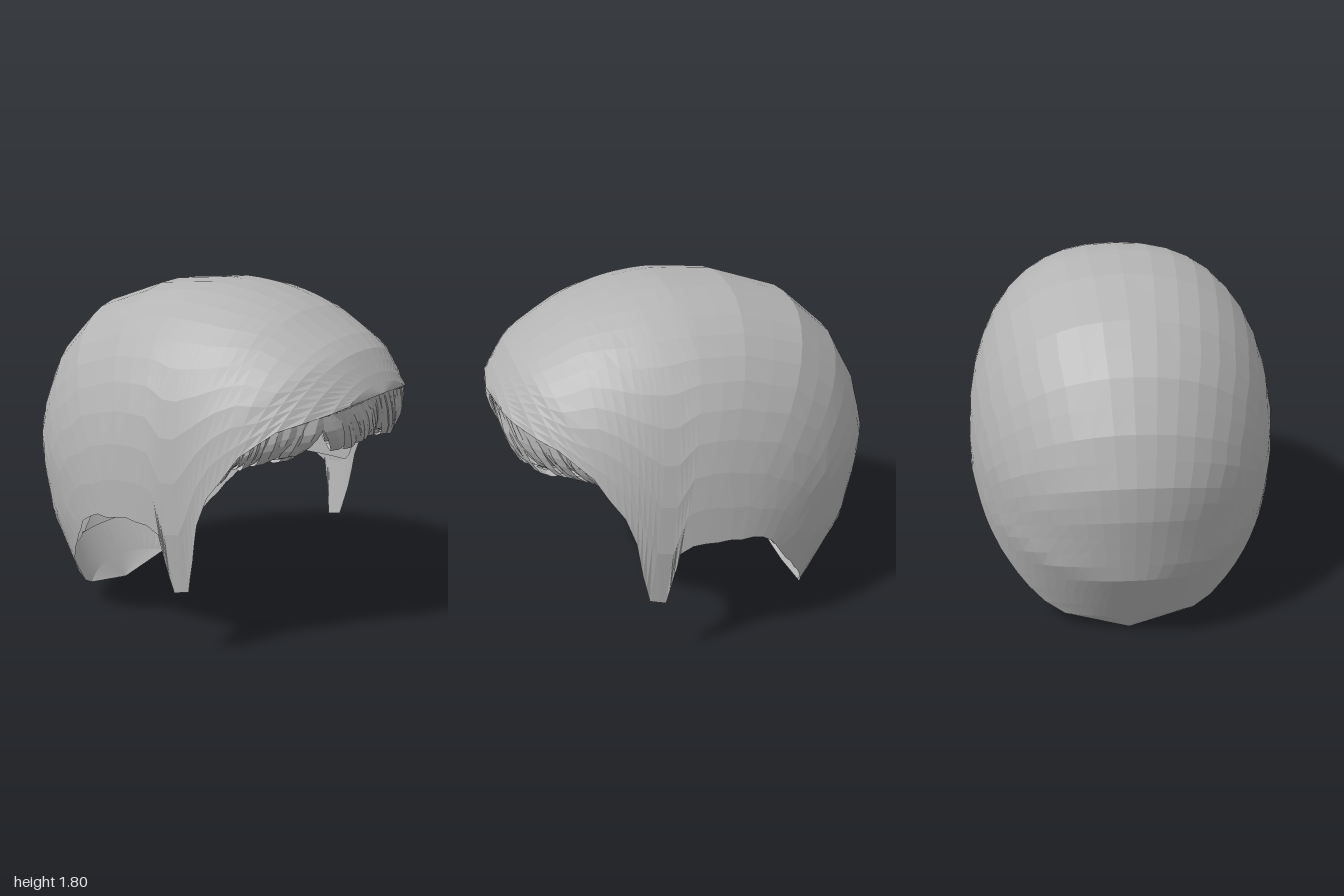
import * as THREE from 'three';

// centre-line profile (z, y), front lip over the crown to the nape
const CROWN = [[1, 1.31], [.95, 1.4], [.88, 1.505], [.8, 1.57], [.6, 1.69], [.5, 1.73], [.38, 1.765], [.3, 1.782],
  [.24, 1.79], [.17, 1.797], [.1, 1.8], [.03, 1.795], [-.23, 1.77], [-.58, 1.65], [-.8, 1.45], [-.93, 1.22],
  [-1, .98], [-.99, .8], [-.95, .62], [-.91, .44], [-.77, .22], [-.63, 0]];
// matching cut edge (z, y): lip, temple, sideburn, ear, nape
const EDGE = [[1, 1.31], [.93, 1.27], [.76, 1.2], [.62, 1.08], [.56, .98], [.49, .88], [.44, .74], [.41, .55],
  [.37, .38], [.29, .36], [.26, .52], [.23, .66], [.1, .7], [-.02, .7], [-.15, .69], [-.25, .64],
  [-.3, .57], [-.36, .48], [-.43, .38], [-.5, .27], [-.56, .13], [-.63, 0]];
// the inner layer has no sideburns and stops above the nape
const INNER_CROWN = [...CROWN.slice(2, 20), [-.81, .283]];
const INNER_EDGE = [...EDGE.slice(2, 17).map(([z, y]) => [z, z > 0 ? Math.max(y, .7) : y]),
  [-.35, .52], [-.4, .46], [-.47, .41], [-.6, .33]];
const CY = 0.8, HALF_WIDTH = 0.8;

let seed = 7;
const rand = () => (seed = (seed * 16807) % 2147483647) / 2147483647;

// distance from the side pole to the centre-line profile in one direction
function reach(dz, dy) {
  for (let i = 0; i < CROWN.length - 1; i++) {
    const [az, ay] = CROWN[i], ez = CROWN[i + 1][0] - az, ey = CROWN[i + 1][1] - ay;
    const den = dz * ey - dy * ez;
    if (Math.abs(den) < 1e-9) continue;
    const t = (az * ey - (ay - CY) * ez) / den;
    const u = (az * dy - (ay - CY) * dz) / den;
    if (t > 0 && u >= -1e-6 && u <= 1 + 1e-6) return t;
  }
  return dz > 0 ? 1.12 : 1.02;
}

// half width of the head at a point of the side outline
function widthAt(z, y) {
  const r = Math.hypot(z, y - CY) || 1e-6, dz = z / r, dy = (y - CY) / r;
  const s = Math.min(1, r / reach(dz, dy));
  const n = 2.4 - 0.4 * Math.max(0, -dz);
  return HALF_WIDTH * Math.pow(Math.max(0, 1 - Math.pow(s, n)), 1 / n);
}

// faceted geometry from a grid of points
function gridGeometry(rows, flip) {
  const pos = [];
  const tri = (a, b, c) => pos.push(...a, ...(flip ? c : b), ...(flip ? b : c));
  for (let i = 0; i < rows.length - 1; i++) {
    for (let j = 0; j < rows[i].length - 1; j++) {
      const a = rows[i][j], b = rows[i][j + 1], c = rows[i + 1][j + 1], d = rows[i + 1][j];
      tri(a, b, c);
      tri(a, c, d);
    }
  }
  const g = new THREE.BufferGeometry();
  g.setAttribute('position', new THREE.Float32BufferAttribute(pos, 3));
  g.computeVertexNormals();
  return g;
}

// one side of a shell, ruled from the crown line down to the cut edge
function halfShell(side, crown, edge, scale, ragged) {
  const rows = [], STEPS = 11, SUB = 2;
  const at = (list, f) => {
    const i = Math.min(Math.floor(f), list.length - 2), t = f - i;
    return [0, 1].map(k => list[i][k] + (list[i + 1][k] - list[i][k]) * t);
  };
  for (let c = 0; c <= (crown.length - 1) * SUB; c++) {
    const u = at(crown, c / SUB), e = at(edge, c / SUB), row = [];
    if (c % SUB && c / SUB > 10) e[1] += (rand() - 0.4) * ragged;
    // long columns keep the same row spacing near the crown as short ones
    const k = Math.min(1, 1.05 / (Math.hypot(u[0] - e[0], u[1] - e[1]) + 1e-6));
    for (let j = 0; j <= STEPS; j++) {
      const f = j / STEPS, t = k * Math.pow(f, 2) + (1 - k) * Math.pow(f, 4);
      const z = u[0] + (e[0] - u[0]) * t, y = u[1] + (e[1] - u[1]) * t;
      const x = j === 0 ? 0 : widthAt(z, y);
      row.push([side * x * scale, 0.85 + (y - 0.85) * scale, z * scale]);
    }
    rows.push(row);
  }
  return gridGeometry(rows, side < 0);
}

// one curled lock hanging from the front lip, set back by a depth
function lockGeometry(lip, q, back) {
  const p = lip.getPoint((q + 1) / 2), along = lip.getTangent((q + 1) / 2);
  const inward = new THREE.Vector3(-p.x, 0, -p.z).normalize();
  const drop = Math.max(0.08, p.y - 1.02) * (0.85 + rand() * 0.2);
  const slant = (p.x < -0.4 ? -0.15 : 0.3) * (1 - Math.abs(q));
  const point = (depth, sway, fall) => p.clone().addScaledVector(inward, depth + back)
    .addScaledVector(along, slant * sway).add(new THREE.Vector3(0, -drop * fall, 0));
  const path = new THREE.CatmullRomCurve3([
    point(0.01, 0, 0), point(0.015 + rand() * 0.02, 0.3, 0.45),
    point(0.09 + rand() * 0.03, 0.7, 0.95), point(0.3 - 0.16 * Math.abs(q), 1, 0.85 + rand() * 0.25)]);
  const rows = [];
  for (let i = 0; i <= 8; i++) {
    const t = i / 8, c = path.getPoint(t), w = 0.06 * (1 - 0.6 * t);
    rows.push([-1, 0, 1].map(k => c.clone().addScaledVector(along, k * w)
      .addScaledVector(inward, k ? 0.015 : 0).toArray()));
  }
  return gridGeometry(rows, true);
}

export function createModel() {
  const model = new THREE.Group();
  model.name = 'hairCap';
  const hair = new THREE.MeshStandardMaterial({ color: 0xb4b4b4, side: THREE.DoubleSide });
  hair.name = 'hairGrey';
  const add = (parent, name, geometry) => {
    const mesh = new THREE.Mesh(geometry, hair);
    mesh.name = name;
    parent.add(mesh);
  };

  // outer shell and the shorter layer inside it
  for (const [side, label] of [[1, 'left'], [-1, 'right']]) {
    add(model, label + 'OuterShell', halfShell(side, CROWN, EDGE, 1, 0.03));
    add(model, label + 'InnerLayer', halfShell(side, INNER_CROWN, INNER_EDGE, 0.96, 0.07));
  }

  // fringe of locks in two rows, rolled under the front lip
  const half = [[.22, 1.29, .985], [.4, 1.26, .92], [.6, 1.2, .74], [.68, 1.08, .61], [.7, 1.01, .56]];
  const lip = new THREE.CatmullRomCurve3([
    ...half.slice().reverse().map(([x, y, z]) => new THREE.Vector3(-x, y, z)),
    new THREE.Vector3(0, 1.305, .995),
    ...half.map(p => new THREE.Vector3(...p))]);
  const fringe = new THREE.Group();
  fringe.name = 'fringe';
  for (const [count, back] of [[44, 0], [30, 0.07]]) {
    for (let i = 0; i < count; i++) {
      add(fringe, 'fringeLock', lockGeometry(lip, -0.97 + 1.94 * i / (count - 1), back));
    }
  }
  model.add(fringe);
  return model;
}
